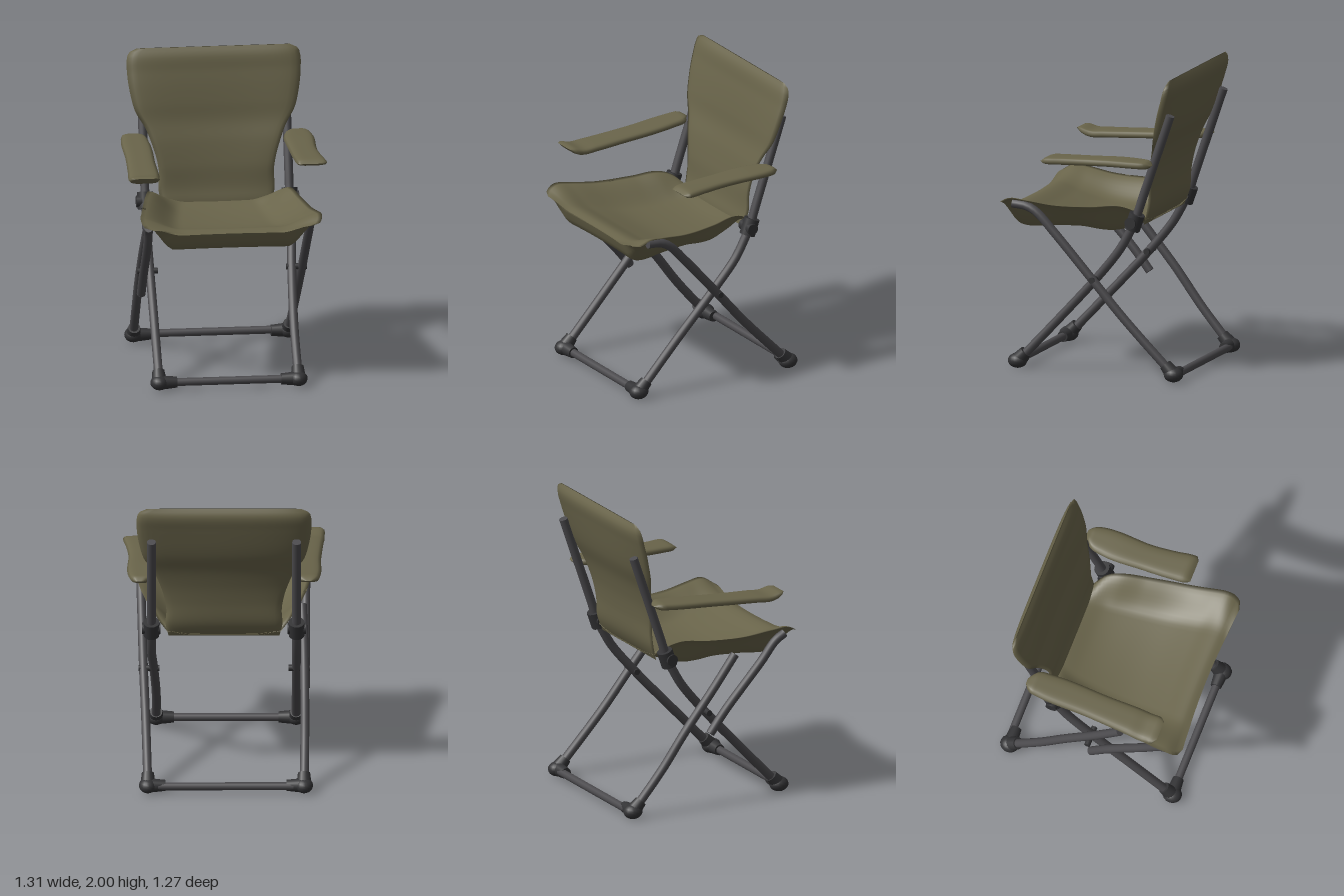
import * as THREE from 'three';

const fabric = new THREE.MeshStandardMaterial({ color: 0x69644a, side: THREE.DoubleSide });
fabric.name = 'oliveFabric';
const metal = new THREE.MeshStandardMaterial({ color: 0x4b4a4d });
metal.name = 'greyTube';
const plastic = new THREE.MeshStandardMaterial({ color: 0x333335 });
plastic.name = 'blackPlastic';

const V = (x, y, z) => new THREE.Vector3(x, y, z);
const smooth = THREE.MathUtils.smoothstep;

// Smooth curve through [key, value] pairs with ascending keys
function curve(...pairs) {
  const f = new THREE.CubicInterpolant(pairs.map(p => p[0]), pairs.map(p => p[1]), 1);
  return t => f.evaluate(t)[0];
}

// Closed padded panel: point(u, v, s), u in -1..1, v in 0..1, s = +1 face or -1 reverse
function panel(name, nu, nv, point) {
  const pos = [], index = [], n = 2 * nu;
  for (let j = 0; j <= nv; j++) {
    for (let i = 0; i < n; i++) {
      const s = i <= nu ? 1 : -1;
      const u = s > 0 ? -1 + 2 * i / nu : 3 - 2 * i / nu;
      pos.push(...point(u, j / nv, s));
      if (j === nv) continue;
      const a = j * n + i, b = j * n + (i + 1) % n;
      index.push(a, a + n, b, b, a + n, b + n);
    }
  }
  const g = new THREE.BufferGeometry();
  g.setAttribute('position', new THREE.Float32BufferAttribute(pos, 3));
  g.setIndex(index);
  g.computeVertexNormals();
  const m = new THREE.Mesh(g, fabric);
  m.name = name;
  return m;
}

// Straight round bar between two points
function rod(name, a, b, r, mat, r2 = r) {
  const d = b.clone().sub(a);
  const m = new THREE.Mesh(new THREE.CylinderGeometry(r2, r, d.length(), 16), mat);
  m.position.copy(a).add(b).multiplyScalar(0.5);
  m.quaternion.setFromUnitVectors(V(0, 1, 0), d.normalize());
  m.name = name;
  return m;
}

// Bent tube with closed ends
function tube(name, pts, r = 0.029) {
  const g = new THREE.Group();
  g.name = name;
  const c = new THREE.CatmullRomCurve3(pts);
  const t = new THREE.Mesh(new THREE.TubeGeometry(c, 40, r, 14), metal);
  t.name = name + 'Tube';
  g.add(t);
  for (const e of [0, 1]) {
    const p = c.getPoint(e), d = c.getTangent(e).multiplyScalar(e ? 0.004 : -0.004);
    g.add(rod(name + 'Cap', p.clone().sub(d), p.clone().add(d), r, metal));
  }
  return g;
}

// Corner fitting: socket for the leg, socket for the crossbar, rounded knuckle
function foot(name, p, side, legDir) {
  const g = new THREE.Group();
  g.name = name;
  const ball = new THREE.Mesh(new THREE.SphereGeometry(0.056, 18, 12), plastic);
  ball.scale.set(1.05, 0.88, 1.15);
  ball.position.copy(p);
  ball.name = name + 'Knuckle';
  g.add(ball);
  g.add(rod(name + 'LegSocket', p, p.clone().addScaledVector(legDir, 0.085), 0.05, plastic, 0.04));
  g.add(rod(name + 'BarSocket', p, p.clone().add(V(-side * 0.115, 0, 0)), 0.048, plastic, 0.036));
  return g;
}

function makeSeat() {
  const width = curve([-0.33, 0.37], [-0.27, 0.43], [-0.15, 0.475], [0.1, 0.53], [0.35, 0.57],
    [0.5, 0.592], [0.56, 0.585], [0.585, 0.565], [0.6, 0.52]);
  const edge = curve([-0.33, 1.04], [-0.27, 1.1], [-0.18, 1.135], [0, 1.125], [0.25, 1.125],
    [0.42, 1.15], [0.52, 1.158], [0.6, 1.11]);
  const top = curve([-0.33, 1.02], [-0.2, 0.985], [0, 0.972], [0.2, 0.985], [0.4, 1.035], [0.55, 1.082], [0.6, 1.07]);
  const under = curve([-0.33, 1.015], [-0.25, 0.985], [-0.1, 0.94], [0, 0.94], [0.12, 0.955],
    [0.3, 0.95], [0.5, 0.942], [0.55, 0.965], [0.58, 1.01], [0.6, 1.065]);
  return panel('seat', 40, 48, (u, v, s) => {
    const z = -0.33 + 0.93 * v, a = Math.abs(u), e = edge(z);
    const rise = s > 0 ? 0.25 * a * a + 0.75 * smooth(a, 0.55, 1) : smooth(a, 0.62, 1);
    const c = s > 0 ? top(z) : under(z);
    return [u * width(z), c + (e - c) * rise, z + 0.032 * u * u * smooth(v, 0.5, 1)];
  });
}

function makeBackrest() {
  const width = curve([1, 0.36], [1.1, 0.38], [1.2, 0.375], [1.3, 0.39], [1.4, 0.42], [1.5, 0.46], [1.6, 0.52],
    [1.7, 0.548], [1.85, 0.568], [1.94, 0.565], [1.98, 0.545], [2, 0.5]);
  const depth = curve([1, -0.31], [1.1, -0.34], [1.26, -0.352], [1.4, -0.375], [1.6, -0.435], [1.76, -0.48],
    [1.95, -0.533], [2, -0.54]);
  const thick = curve([1, 0], [1.04, 0.01], [1.4, 0.014], [1.52, 0.014], [1.65, 0.03], [1.85, 0.034], [1.96, 0.028], [2, 0.003]);
  return panel('backrest', 32, 48, (u, v, s) => {
    const y = 2 - v, pad = thick(y) * Math.sqrt(Math.max(0, 1 - u ** 6));
    const hollow = 0.025 * (1 - u * u) * Math.sin(Math.PI * v);
    return [u * width(y), y, depth(y) - hollow + s * pad];
  });
}

// Padded armrest from inner edge, outer edge and height along z
function makeArm(name, z0, z1, left, right, height, half) {
  return panel(name, 16, 40, (u, v, s) => {
    const z = z0 + (z1 - z0) * v, l = left(z), r = right(z);
    const ends = Math.sqrt(Math.min(1, v / 0.05, (1 - v) / 0.06));
    const pad = half * ends * Math.sqrt(Math.max(0, 1 - u ** 4));
    return [(l + r) / 2 + u * (r - l) / 2, height(z) + s * pad, z];
  });
}

export function createModel() {
  const chair = new THREE.Group();
  chair.name = 'foldingChair';
  chair.add(makeSeat(), makeBackrest());

  chair.add(makeArm('leftArmrest', -0.44, 0.305,
    curve([-0.44, 0.53], [-0.4, 0.47], [-0.3, 0.435], [0, 0.437], [0.2, 0.447], [0.28, 0.458], [0.305, 0.475]),
    curve([-0.44, 0.57], [-0.41, 0.6], [-0.36, 0.62], [0, 0.622], [0.15, 0.638], [0.27, 0.655], [0.295, 0.65], [0.305, 0.63]),
    curve([-0.44, 1.44], [-0.2, 1.443], [0, 1.437], [0.305, 1.432]), 0.025));
  chair.add(makeArm('rightArmrest', -0.44, 0.49,
    curve([-0.44, -0.57], [-0.41, -0.61], [-0.35, -0.625], [0, -0.632], [0.25, -0.645], [0.42, -0.655], [0.475, -0.648], [0.49, -0.625]),
    curve([-0.44, -0.53], [-0.4, -0.47], [-0.3, -0.447], [0.1, -0.447], [0.4, -0.452], [0.47, -0.465], [0.49, -0.485]),
    curve([-0.44, 1.445], [-0.2, 1.425], [0, 1.41], [0.3, 1.392], [0.4, 1.388], [0.49, 1.42]), 0.025));

  for (const side of [1, -1]) {
    const label = side > 0 ? 'left' : 'right';
    const fx = side > 0 ? 0.44 : -0.47, bx = side > 0 ? 0.495 : -0.52, px = side * 0.472;

    // Front foot rising into the back post
    chair.add(tube(label + 'BackPost', [V(fx, 0.05, 0.535), V(fx, 0.34, 0.262), V((fx + px) / 2, 0.64, -0.015),
      V(px, 0.84, -0.18), V(px, 0.94, -0.24), V(px, 1.04, -0.29), V(px, 1.2, -0.345), V(px, 1.76, -0.538)]));
    chair.add(foot(label + 'FrontFoot', V(fx, 0.052, 0.54), side, V(0, 0.73, -0.68)));
    chair.add(foot(label + 'BackFoot', V(bx, 0.052, -0.57), side, V(0, 0.73, 0.68)));

    // Hinge block where seat, post and back meet
    const hinge = new THREE.Group();
    hinge.name = label + 'Hinge';
    hinge.add(rod('hingeCollar', V(px, 0.99, -0.272), V(px, 1.095, -0.309), 0.052, plastic));
    hinge.add(rod('hingePin', V(px - 0.06, 1.04, -0.28), V(px + 0.06, 1.04, -0.28), 0.038, plastic));
    chair.add(hinge);

    // Pivot bolt where the legs cross
    chair.add(rod(label + 'Pivot', V(side * 0.42, 0.645, -0.02), V(side * 0.555, 0.645, -0.02), 0.02, plastic));
  }

  // Rear leg reaching the front corner of the seat
  chair.add(tube('leftRearLeg', [V(0.495, 0.05, -0.57), V(0.51, 0.4, -0.23), V(0.523, 0.64, -0.02),
    V(0.535, 0.94, 0.245), V(0.54, 1.07, 0.37), V(0.54, 1.105, 0.44), V(0.54, 1.115, 0.53)]));
  // The other side is a shorter leg with a separate strut in front of it
  chair.add(tube('rightRearLeg', [V(-0.52, 0.05, -0.57), V(-0.525, 0.3, -0.36), V(-0.525, 0.53, -0.19),
    V(-0.52, 0.8, 0.03), V(-0.51, 1, 0.19)]));
  chair.add(tube('rightSeatStrut', [V(-0.53, 0.5, 0), V(-0.53, 0.64, 0.11), V(-0.53, 0.93, 0.375),
    V(-0.535, 1.06, 0.48), V(-0.54, 1.1, 0.54)]));

  // Crossbars joining the feet
  chair.add(rod('frontCrossbar', V(-0.47, 0.052, 0.54), V(0.44, 0.052, 0.54), 0.026, metal));
  chair.add(rod('backCrossbar', V(-0.52, 0.052, -0.585), V(0.495, 0.052, -0.585), 0.026, metal));
  return chair;
}
